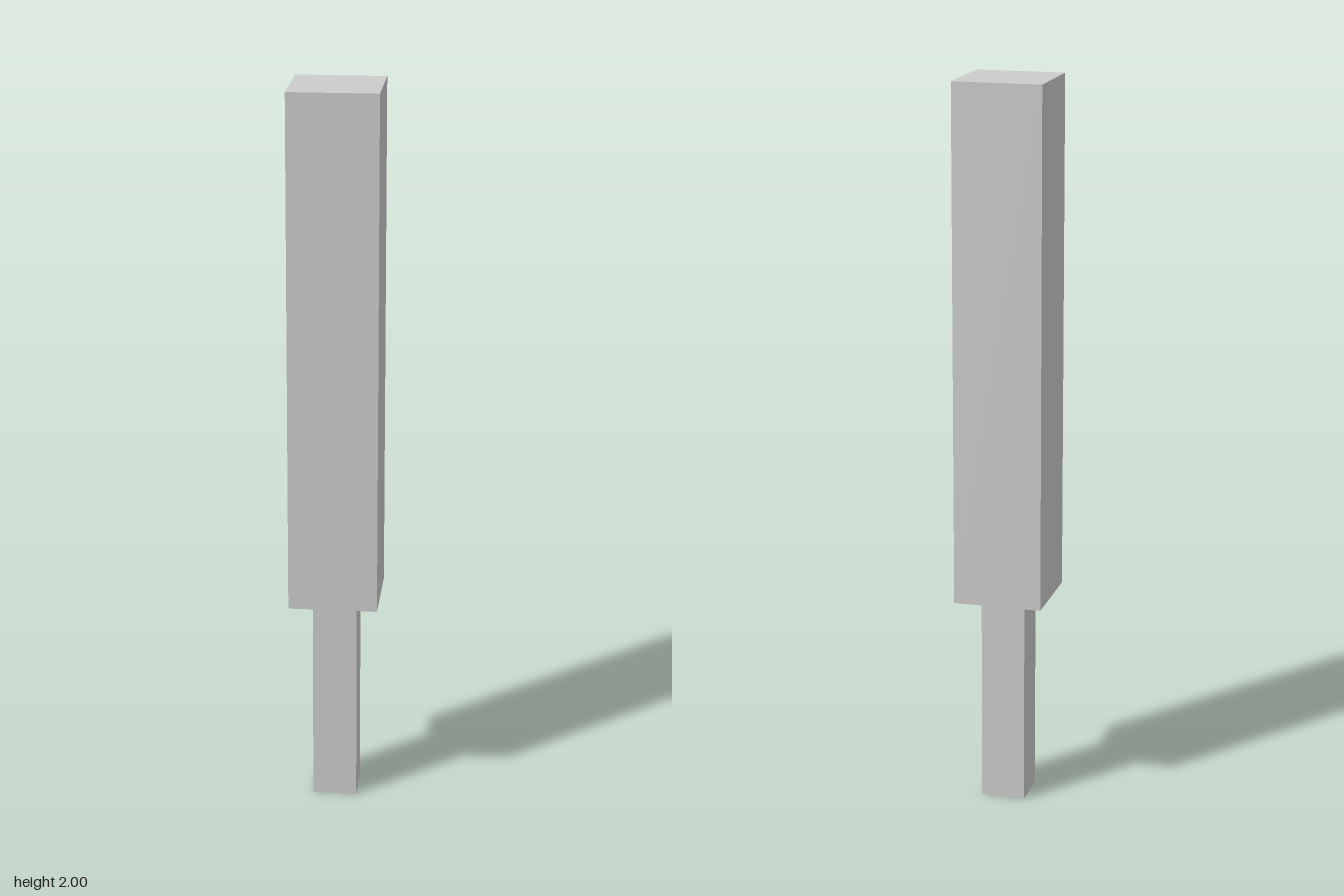
import * as THREE from 'three';

// Square bar standing between two heights
function squareBar(name, width, bottom, top, material) {
  const geometry = new THREE.BoxGeometry(width, top - bottom, width);
  const mesh = new THREE.Mesh(geometry, material);
  mesh.name = name;
  mesh.position.y = (bottom + top) / 2;
  return mesh;
}

export function createModel() {
  const group = new THREE.Group();
  group.name = 'squareBat';
  const material = new THREE.MeshStandardMaterial({ color: 0xcccccc, flatShading: true });

  const shoulder = 0.583; // height where the handle meets the blade
  group.add(squareBar('handle', 0.121, 0, shoulder, material));
  group.add(squareBar('blade', 0.242, shoulder, 2, material));
  return group;
}
